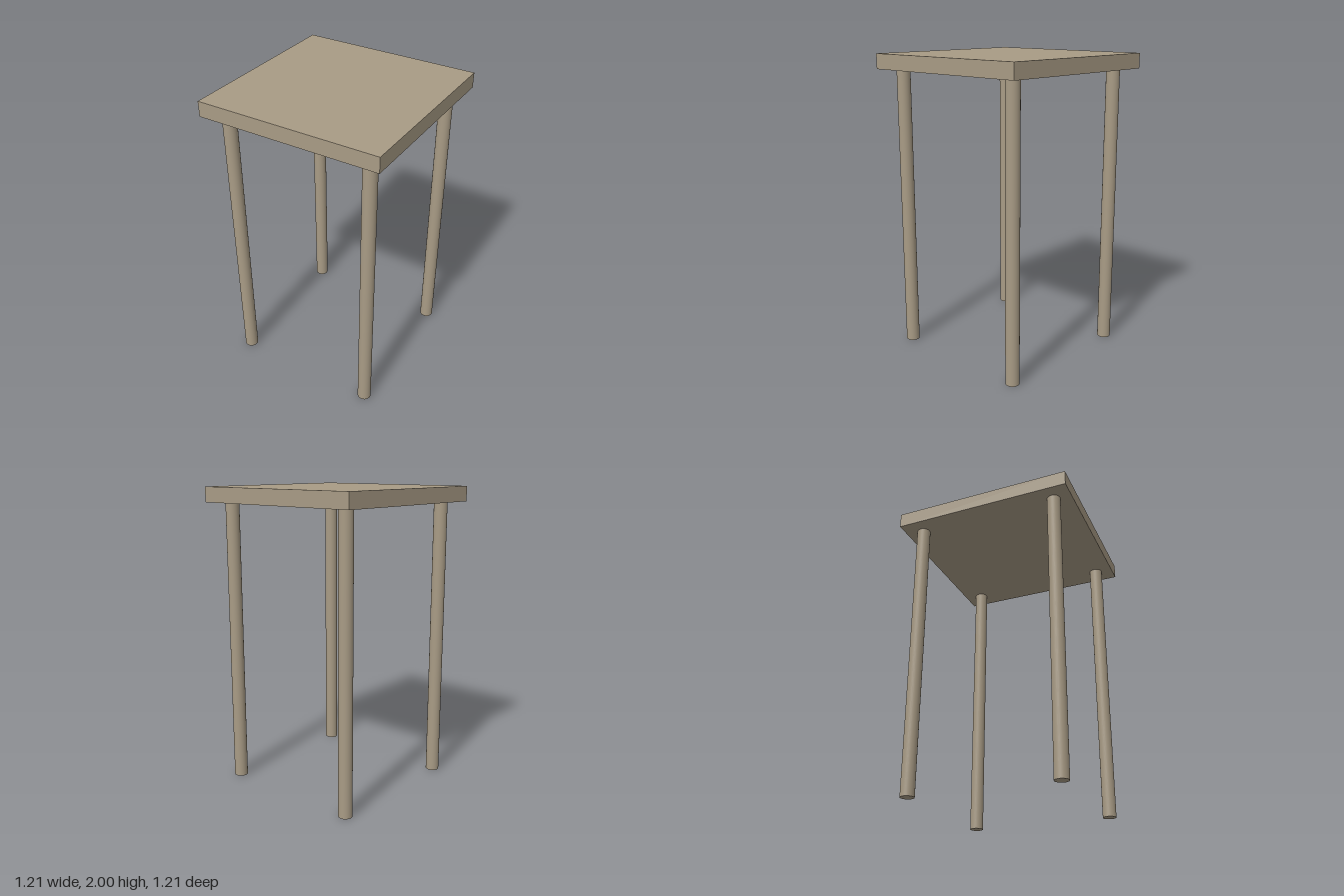
import * as THREE from 'three';

export function createModel() {
  const model = new THREE.Group();
  model.name = 'table';

  const wood = new THREE.MeshStandardMaterial({ color: 0xa89b85 });
  wood.name = 'taupe wood';

  const height = 2;
  const topThickness = 0.1;
  const topWidth = 1.214;
  const legRadius = 0.045;
  const legOffset = 0.485;
  const legHeight = height - topThickness;

  // Square slab top
  const top = new THREE.Mesh(new THREE.BoxGeometry(topWidth, topThickness, topWidth), wood);
  top.name = 'tableTop';
  top.position.y = height - topThickness / 2;
  model.add(top);

  // Four round legs, set in from the corners
  const legGeometry = new THREE.CylinderGeometry(legRadius, legRadius, legHeight, 32);
  for (const [zName, z] of [['front', 1], ['back', -1]]) {
    for (const [xName, x] of [['Left', 1], ['Right', -1]]) {
      const leg = new THREE.Mesh(legGeometry, wood);
      leg.name = `${zName}${xName}Leg`;
      leg.position.set(x * legOffset, legHeight / 2, z * legOffset);
      model.add(leg);
    }
  }

  return model;
}
